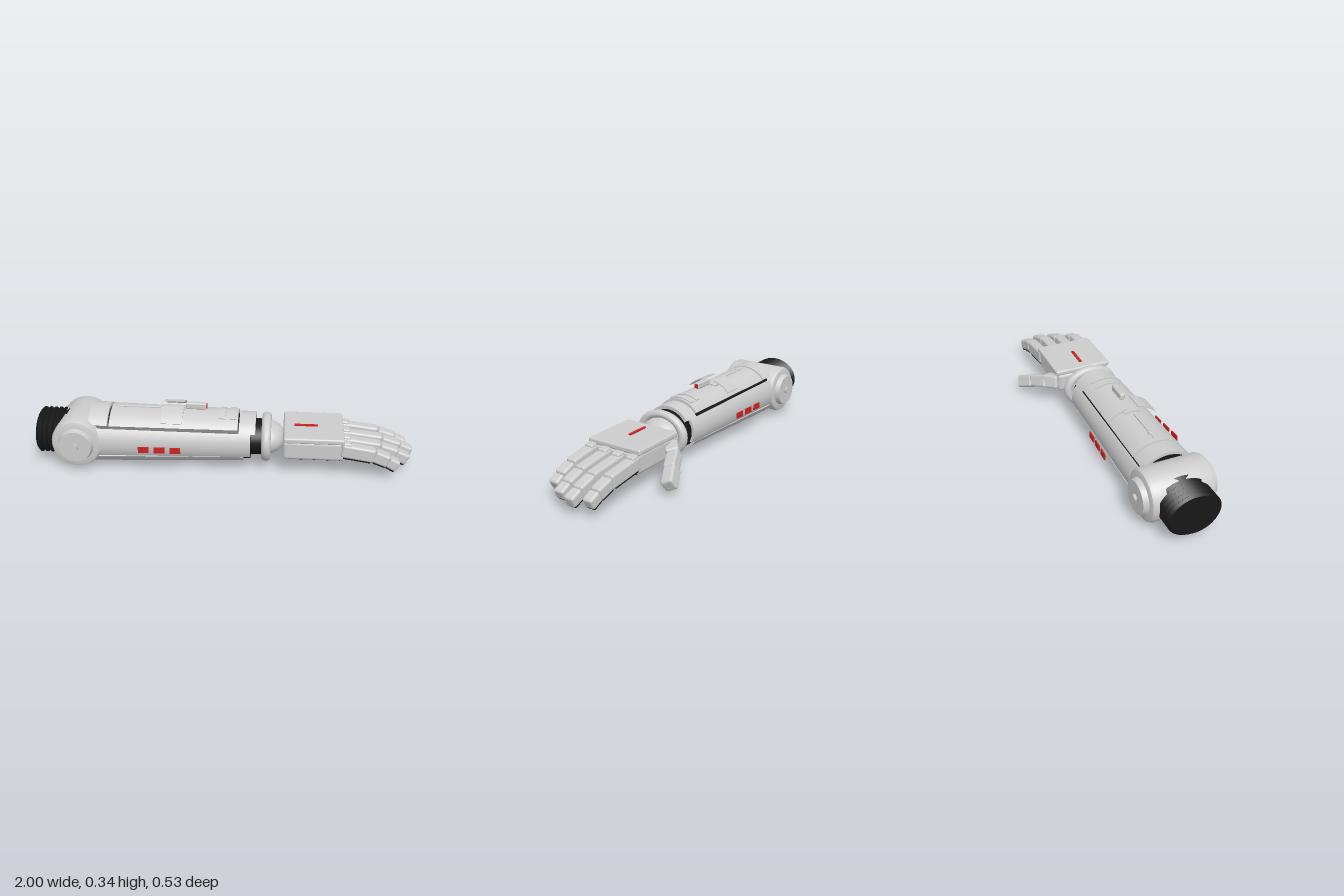
import * as THREE from 'three';
import { RoundedBoxGeometry } from 'three/addons/geometries/RoundedBoxGeometry.js';
import { toCreasedNormals } from 'three/addons/utils/BufferGeometryUtils.js';

const CY = 0.155, CZ = 0.06; // arm axis
const rad = THREE.MathUtils.degToRad;

export function createModel() {
  const root = new THREE.Group();
  root.name = 'mechanicalArm';
  const grey = new THREE.MeshStandardMaterial({ color: 0xcccccc });
  grey.name = 'lightGrey';
  const black = new THREE.MeshStandardMaterial({ color: 0x171717 });
  black.name = 'black';
  const red = new THREE.MeshStandardMaterial({ color: 0xcc2222 });
  red.name = 'red';

  function add(name, geo, mat, x = 0, y = 0, z = 0, parent = root) {
    const m = new THREE.Mesh(geo, mat);
    m.name = name;
    m.position.set(x, y, z);
    parent.add(m);
    return m;
  }
  const rbox = (l, h, w, r) => new RoundedBoxGeometry(l, h, w, 3, r);

  // Curved shell around the arm axis; s0/s1 are [ry, rz] at each end.
  // Angles: 0 = back, 90 = top, 180 = front, 270 = bottom.
  function shell(name, x0, x1, s0, s1, a0, a1, t = 0.1, mat = grey) {
    const shape = new THREE.Shape();
    shape.absarc(0, 0, 1, rad(a0), rad(a1), false);
    shape.absarc(0, 0, 1 - t, rad(a1), rad(a0), true);
    const g = new THREE.ExtrudeGeometry(shape, { depth: 1, bevelEnabled: false, curveSegments: 28 });
    const p = g.attributes.position;
    for (let i = 0; i < p.count; i++) {
      const k = p.getZ(i);
      const ry = s0[0] + (s1[0] - s0[0]) * k, rz = s0[1] + (s1[1] - s0[1]) * k;
      p.setXYZ(i, x0 + (x1 - x0) * k, CY + ry * p.getY(i), CZ - rz * p.getX(i));
    }
    return add(name, toCreasedNormals(g, 0.6), mat);
  }

  // Lathe along x, profile as [radius, x], scaled in y and z
  function latheX(name, pts, mat, sy, sz, crease = 0.6) {
    const g = new THREE.LatheGeometry(pts.map(([r, x]) => new THREE.Vector2(r, x)), 40);
    g.rotateZ(-Math.PI / 2);
    g.scale(1, sy, sz);
    return add(name, toCreasedNormals(g, crease), mat, 0, CY, CZ);
  }

  // Ribbed sleeve behind the elbow
  const ribs = [[0, -1], [0.9, -1]];
  for (let i = 0; i < 6; i++) {
    ribs.push([1, -0.988 + i * 0.028], [0.88, -0.974 + i * 0.028]);
  }
  ribs.push([0, -0.82]);
  latheX('ribbedSleeve', ribs, black, 0.117, 0.142);

  // Elbow drum across the arm, with side discs and hubs
  const drum = [[0, -0.168], [0.112, -0.168], [0.126, -0.163], [0.133, -0.148],
    [0.133, 0.148], [0.126, 0.163], [0.112, 0.168], [0, 0.168]];
  const drumGeo = new THREE.LatheGeometry(drum.map(([r, y]) => new THREE.Vector2(r, y)), 48);
  drumGeo.rotateX(Math.PI / 2);
  add('elbow', toCreasedNormals(drumGeo, 0.7), grey, -0.777, CY, CZ);
  for (const s of [1, -1]) {
    const disc = new THREE.CylinderGeometry(0.085, 0.094, 0.03, 40);
    disc.rotateX(s * Math.PI / 2);
    add('elbowDisc', disc, grey, -0.777, CY, CZ + s * 0.18);
    const hub = new THREE.CylinderGeometry(0.02, 0.02, 0.02, 6);
    hub.rotateX(Math.PI / 2);
    add('elbowHub', hub, grey, -0.777, CY, CZ + s * 0.198);
  }

  // Forearm core and armour shells
  latheX('forearmCore', [[0, -0.7], [1, -0.7], [0.85, 0.135], [0, 0.135]], black, 0.136, 0.15);
  latheX('wristJoint', [[0, 0.1], [1, 0.1], [1, 0.21], [0, 0.21]], black, 0.092, 0.11);
  const wide = [0.15, 0.166], narrow = [0.128, 0.145];
  shell('bottomShell', -0.69, 0.1, [0.155, 0.17], [0.126, 0.148], 208, 332);
  shell('backSidePanel', -0.69, 0.135, wide, narrow, -27, 34);
  shell('frontSidePanel', -0.69, 0.135, wide, narrow, 146, 207);
  shell('rearCollar', -0.715, -0.615, [0.16, 0.166], [0.156, 0.163], 38, 142);
  shell('topShell', -0.605, 0.068, [0.154, 0.163], [0.144, 0.145], 38, 142);
  shell('wristCuff', 0.075, 0.16, [0.133, 0.142], [0.13, 0.138], 32, 148, 0.14);

  // Raised details on the top shell
  shell('topPanel', -0.33, -0.22, [0.157, 0.162], [0.155, 0.16], 74, 106, 0.06);
  for (const x of [-0.03, 0.025]) {
    shell('topRib', x, x + 0.03, [0.151, 0.15], [0.15, 0.149], 62, 118, 0.06);
  }
  add('topRail', rbox(0.23, 0.012, 0.014, 0.004), grey, -0.465, CY + 0.153, CZ);
  add('railKnob', rbox(0.025, 0.016, 0.024, 0.005), grey, -0.53, CY + 0.155, CZ);

  // Raised curved guards
  shell('backGuard', -0.33, -0.22, [0.181, 0.179], [0.181, 0.179], 43, 80, 0.03);
  shell('frontGuard', -0.33, -0.22, [0.181, 0.179], [0.181, 0.179], 100, 137, 0.03);

  // Top pod with a light in its end
  add('topPod', rbox(0.11, 0.036, 0.03, 0.008), grey, -0.157, 0.325, CZ);
  add('podLight', new THREE.BoxGeometry(0.008, 0.022, 0.02), red, -0.102, 0.325, CZ);

  // Three indicator lights on each side
  for (const s of [1, -1]) {
    for (let i = 0; i < 3; i++) {
      const light = add('sideLight', new THREE.BoxGeometry(0.055, 0.032, 0.006), red,
        -0.415 + i * 0.082, 0.157 - i * 0.002, CZ + s * (0.2 - i * 0.005));
      light.rotation.y = s * 0.06;
    }
  }

  // Wrist ring and ball
  const ring = new THREE.TorusGeometry(0.13, 0.025, 16, 48);
  ring.rotateY(Math.PI / 2);
  ring.scale(1, 0.8, 1);
  add('wristRing', ring, grey, 0.217, CY, CZ - 0.003);
  const ball = new THREE.SphereGeometry(1, 32, 20);
  ball.scale(0.095, 0.085, 0.113);
  add('wristBall', ball, grey, 0.22, CY, CZ - 0.003);

  // Palm
  const PZ = 0.053;
  add('palm', rbox(0.32, 0.108, 0.3, 0.02), grey, 0.465, 0.15, PZ);
  add('handPlate', rbox(0.315, 0.03, 0.322, 0.01), grey, 0.465, 0.213, PZ);
  add('palmPad', rbox(0.27, 0.016, 0.25, 0.006), black, 0.475, 0.095, PZ);
  add('handLight', new THREE.BoxGeometry(0.125, 0.006, 0.015), red, 0.425, 0.231, CZ);

  // One jointed digit segment running along local x from a to b
  function segment(name, a, b, h, w, roll = 0, pad = true) {
    const A = new THREE.Vector3(...a), B = new THREE.Vector3(...b);
    const dir = B.clone().sub(A), len = dir.length();
    const g = new THREE.Group();
    g.name = name;
    g.position.copy(A).add(B).multiplyScalar(0.5);
    g.quaternion.setFromUnitVectors(new THREE.Vector3(1, 0, 0), dir.normalize());
    g.rotateX(roll);
    add(name + 'Body', rbox(len, h, w, 0.013), grey, 0, 0, 0, g);
    if (pad) add(name + 'Pad', rbox(len * 0.82, 0.012, w * 0.84, 0.004), black, 0, -h / 2, 0, g);
    root.add(g);
  }

  // Four fingers: [z, length scale, drop]
  const fingers = [[-0.073, 0.925, 0], [0.015, 1, 0], [0.1, 0.93, 0], [0.186, 0.77, 0]];
  for (const [z, k] of fingers) {
    const at = (x, y) => [0.62 + (x - 0.62) * k, y + (1 - k) * 0.03, z];
    segment('fingerBase', at(0.605, 0.157), at(0.83, 0.13), 0.074, 0.06);
    segment('fingerMiddle', at(0.825, 0.13), at(0.925, 0.1), 0.066, 0.062);
    segment('fingerTip', at(0.92, 0.1), at(0.988, 0.071), 0.06, 0.058);
    // Knuckle cap over the first joint
    const cap = add('knuckle', rbox(0.05, 0.03, 0.05, 0.01), grey, ...at(0.635, 0.186));
    cap.rotation.z = -0.12;
  }

  // Thumb
  segment('thumbBase', [0.33, 0.15, -0.085], [0.4, 0.138, -0.143], 0.075, 0.07, 0.2, false);
  segment('thumbMiddle', [0.375, 0.138, -0.135], [0.485, 0.1, -0.19], 0.07, 0.065, 0.3, false);
  segment('thumbTip', [0.47, 0.102, -0.187], [0.565, 0.055, -0.235], 0.07, 0.066, 0.35, false);

  return root;
}
